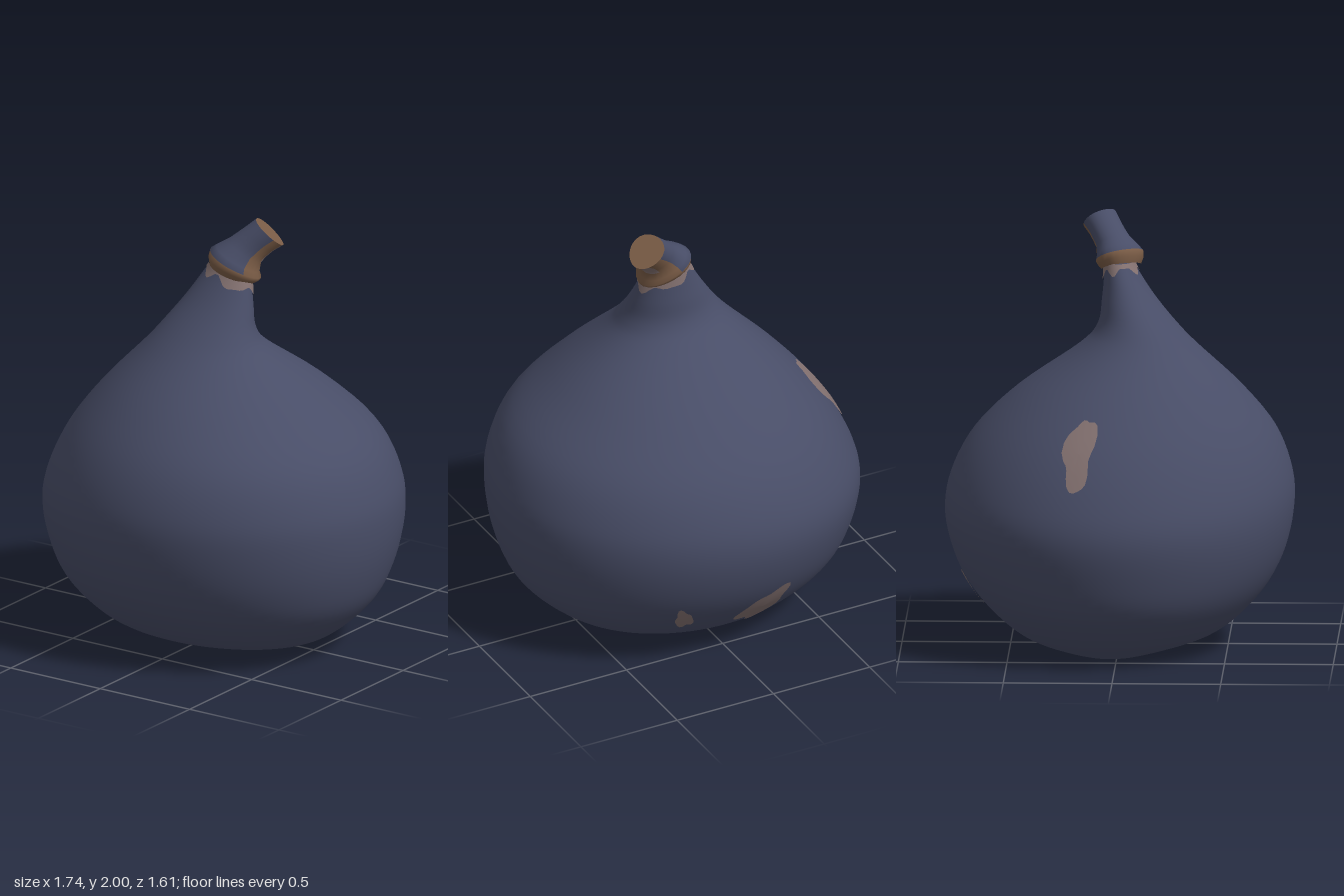
import * as THREE from 'three';

const skin = new THREE.MeshStandardMaterial({ name: 'dusky blue skin', color: 0x484d67 });
const bark = new THREE.MeshStandardMaterial({ name: 'brown stem', color: 0x7a5c46 });
const scar = new THREE.MeshStandardMaterial({ name: 'pinkish brown scar', color: 0x837170 });
const PALETTE = [skin, bark, scar];

// Body sections from base to neck: y, x min, x max, z min, z max
const SECTIONS = [
  [0, -0.03, -0.03, 0, 0],
  [0.003, -0.40, 0.30, -0.17, 0.13],
  [0.03, -0.49, 0.46, -0.36, 0.31],
  [0.10, -0.62, 0.60, -0.50, 0.49],
  [0.25, -0.77, 0.755, -0.65, 0.65],
  [0.42, -0.84, 0.83, -0.75, 0.75],
  [0.62, -0.87, 0.865, -0.80, 0.80],
  [0.80, -0.82, 0.85, -0.775, 0.795],
  [1.00, -0.71, 0.755, -0.67, 0.72],
  [1.20, -0.545, 0.53, -0.47, 0.565],
  [1.40, -0.345, 0.285, -0.19, 0.36],
  [1.50, -0.26, 0.21, -0.10, 0.265],
  [1.62, -0.175, 0.175, -0.08, 0.165],
  [1.74, -0.10, 0.145, -0.07, 0.085],
  [1.80, -0.06, 0.11, -0.07, 0.06],
];
const spline = (a, b) => new THREE.CatmullRomCurve3(
  SECTIONS.map((s) => new THREE.Vector3(s[a], s[0], s[b])), false, 'catmullrom', 0.5);
const widths = spline(1, 2);
const depths = spline(3, 4);

// Point on the body at angle and spline parameter t, slightly fuller on one diagonal
function bodyPoint(angle, t) {
  const w = widths.getPoint(t), d = depths.getPoint(t);
  const full = 1 + 0.015 * Math.sin(2 * angle);
  return new THREE.Vector3(
    (w.x + w.z) / 2 + (w.z - w.x) / 2 * full * Math.cos(angle),
    Math.max(0, w.y),
    (d.x + d.z) / 2 + (d.z - d.x) / 2 * full * Math.sin(angle));
}

function paramAtHeight(y) {
  let lo = 0, hi = 1;
  for (let i = 0; i < 25; i++) {
    const mid = (lo + hi) / 2;
    if (widths.getPoint(mid).y < y) lo = mid; else hi = mid;
  }
  return lo;
}

// Skin a list of closed rings; paint(i, j) optionally picks a palette index
function loft(name, rings, material, paint) {
  const n = rings[0].length;
  const faces = PALETTE.map(() => []);
  for (let i = 0; i < rings.length - 1; i++) {
    for (let j = 0; j < n; j++) {
      const k = (j + 1) % n;
      const a = i * n + j, b = i * n + k, c = a + n, d = b + n;
      faces[paint ? paint(i, j) : 0].push(a, c, b, b, c, d);
    }
  }
  const geo = new THREE.BufferGeometry().setFromPoints(rings.flat());
  geo.setIndex(faces.flat());
  if (paint) {
    let start = 0;
    faces.forEach((f, m) => { geo.addGroup(start, f.length, m); start += f.length; });
  }
  geo.computeVertexNormals();
  const mesh = new THREE.Mesh(geo, material);
  mesh.name = name;
  return mesh;
}

const circle = (n, fn) => Array.from({ length: n }, (_, j) => fn(j / n * Math.PI * 2));

// Thin irregular blemish lying just over the skin
function blemish(name, angle, y, halfAngle, halfHeight, slant, seed) {
  const centre = new THREE.Vector3(0, 0.65, 0);
  const rings = [1, 0.66, 0.33, 0].map((f) => circle(28, (a) => {
    const r = f * (1 + 0.17 * Math.sin(3 * a + seed) + 0.1 * Math.sin(5 * a + seed * 2));
    const h = r * Math.sin(a);
    const p = bodyPoint(angle + halfAngle * r * Math.cos(a) + slant * h, paramAtHeight(y + halfHeight * h));
    return p.addScaledVector(p.clone().sub(centre).normalize(), 0.006);
  }));
  return loft(name, rings, scar);
}

// Ragged scarred fringe hugging the neck just below the tilted collar
function neckFringe() {
  const rings = [0, 0.33, 0.66, 1].map((f) => circle(40, (a) => {
    const ragged = 0.014 * Math.sin(5 * a) + 0.008 * Math.sin(8 * a + 1);
    const low = 1.722 - 0.035 * Math.cos(a) + 0.012 * Math.sin(a) + ragged;
    const p = bodyPoint(a, paramAtHeight(low + (1.785 - low) * f));
    return p.add(new THREE.Vector3(Math.cos(a), 0, Math.sin(a)).multiplyScalar(0.006));
  }));
  return loft('neckFringe', rings, scar);
}

// Stem rings: centre x, y, z and radius
const STEM = [
  [0.040, 1.752, 0.004, 0.118],
  [0.046, 1.774, 0.000, 0.134],
  [0.053, 1.797, -0.006, 0.138],
  [0.062, 1.820, -0.014, 0.118],
  [0.088, 1.856, -0.034, 0.094],
  [0.114, 1.884, -0.053, 0.088],
  [0.145, 1.914, -0.073, 0.085],
  [0.184, 1.947, -0.098, 0.087],
];
const SIDES = 24;

// Angle 0 is the underside, towards which the stem leans
function stemRing([x, y, z, r], i) {
  const f = i / (STEM.length - 1);
  const n = new THREE.Vector3(0.32 + 0.24 * f, 1 - 0.25 * f, -0.12 - 0.25 * f).normalize();
  const u = new THREE.Vector3(0.82, 0, -0.57);
  u.addScaledVector(n, -u.dot(n)).normalize();
  const v = u.clone().cross(n);
  const lump = i < 4 ? 0.05 : 0.03;
  const narrow = 0.76 + 0.16 * f;   // the collar is narrower front to back
  return circle(SIDES, (a) => {
    const rr = r * (1 + lump * Math.sin(3 * a + 1));
    const p = new THREE.Vector3()
      .addScaledVector(u, rr * Math.cos(a)).addScaledVector(v, rr * Math.sin(a));
    p.z *= narrow;
    return p.add(new THREE.Vector3(x, y, z));
  });
}

function stemPaint(i, j) {
  let a = (j + 0.5) / SIDES * Math.PI * 2;
  if (a > Math.PI) a = Math.PI * 2 - a;
  if (i < 2) return 1;                       // brown collar band
  if (a > 1.3) return 0;                     // bluish upper side
  return i > 3 && a < 0.6 ? 2 : 1;           // pale streak underneath
}

export function createModel() {
  const model = new THREE.Group();
  model.name = 'fig';

  const bodyRings = Array.from({ length: 71 }, (_, i) => circle(72, (a) => bodyPoint(a, i / 70)));
  model.add(loft('body', bodyRings, skin));

  const stem = new THREE.Group();
  stem.name = 'stem';
  const rings = STEM.map(stemRing);
  stem.add(neckFringe(), loft('stalkAndCollar', rings, PALETTE, stemPaint));

  // Cut face closing the stem
  const tip = rings[rings.length - 1];
  const last = STEM[STEM.length - 1];
  const middle = tip.map(() => new THREE.Vector3(last[0], last[1], last[2]));
  stem.add(loft('cutEnd', [tip.map((p) => p.clone()), middle], bark));
  model.add(stem);

  model.add(blemish('sideScar', 3.42, 1.01, 0.10, 0.15, 0.02, 0.5));
  model.add(blemish('lowerScar', -1.73, 0.25, 0.14, 0.115, -0.04, 2));
  model.add(blemish('smallScar', -1.21, 0.27, 0.055, 0.07, 0.01, 4));
  return model;
}
